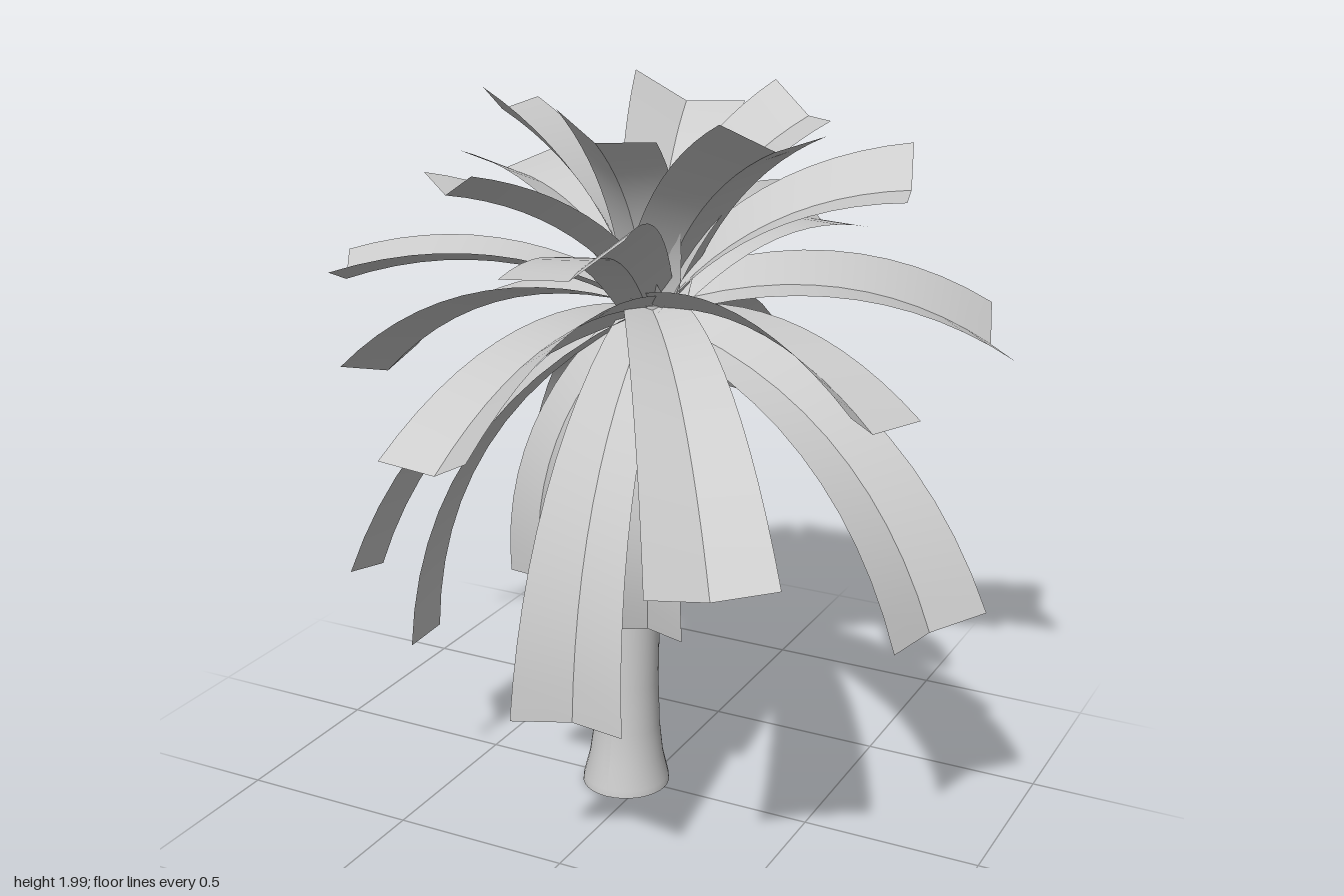
import * as THREE from 'three';

const grey = new THREE.MeshStandardMaterial({ color: 0xcccccc, side: THREE.DoubleSide });
grey.name = 'pale grey';

// Each frond: tip x, y, z of the midrib, then roll about the midrib.
const youngFronds = [
  [0.46, 1.91, 0.22, -0.2], [-0.12, 1.88, -0.49, 0.28], [0, 1.9, 0.27, -0.2],
  [-0.45, 1.9, -0.04, 0.25], [-0.33, 1.77, 0.44, 0.15], [0.32, 1.9, -0.32, 0.22],
];
const spreadingFronds = [
  [0.745, 1.24, -0.667, 0.33], [-0.09, 1.22, 0.9, 0.27], [0.56, 0.98, 0.77, 0.02],
  [0.2, 1.69, 0.766, 0.35], [-0.93, 1.07, -0.146, 0.05], [-0.71, 1.49, 0.345, 0.05],
  [0.77, 1.28, 0.32, -0.33], [0.656, 1.757, -0.2, 0.3], [0.19, 1.52, -0.75, 0.3],
  [-0.44, 1.37, -0.76, 0], [-0.6, 1.68, -0.3, 0.1],
];
const droopingFronds = [
  [0.86, 0.69, 0.09, 0.45], [0.1, 0.49, 0.6, 0], [-0.09, 0.91, -0.9, -0.13],
  [-0.545, 0.47, 0.21, 0], [-0.49, 0.62, -0.49, 0], [0.42, 0.58, -0.64, -0.15],
  [-0.54, 0.76, 0.48, 0.4],
];
const hangingFronds = [
  [-0.235, 0.66, 0.17, -0.4], [-0.235, 0.52, -0.09, 0.55], [0.11, 0.59, 0.2, 0.25],
];

const UP = new THREE.Vector3(0, 1, 0);

// An arched strip folded into a shallow gutter along its midrib.
function frondGeometry([x, y, z, roll], { rootY, arch, rootHalf, tipHalf }) {
  const tip = new THREE.Vector3(x, y, z);
  const out = new THREE.Vector3(x, 0, z).setLength(0.035);
  const root = new THREE.Vector3(0.01, rootY, -0.01).add(out);
  const chord = tip.clone().sub(root);
  const side = UP.clone().cross(chord).normalize();
  const lift = chord.clone().cross(side).normalize();
  const control = root.clone().lerp(tip, 0.5).addScaledVector(lift, 2 * arch * chord.length());
  const rib = new THREE.QuadraticBezierCurve3(root, control, tip);

  const steps = 12, pos = [], index = [];
  for (let i = 0; i <= steps; i++) {
    const t = i / steps;
    const p = rib.getPoint(t);
    const tangent = rib.getTangent(t);
    const across = side.clone().applyAxisAngle(tangent, roll);
    const normal = tangent.clone().cross(across);
    const half = rootHalf + (tipHalf - rootHalf) * t ** 0.8;
    const edge = (s) => p.clone().addScaledVector(across, s * half).addScaledVector(normal, half * 0.33);
    // the midrib is doubled so the fold stays sharp
    for (const v of [edge(1), p, p, edge(-1)]) pos.push(v.x, v.y, v.z);
    if (i < steps) {
      for (const c of [0, 2]) {
        const a = i * 4 + c;
        index.push(a, a + 4, a + 1, a + 1, a + 4, a + 5);
      }
    }
  }
  const g = new THREE.BufferGeometry();
  g.setAttribute('position', new THREE.Float32BufferAttribute(pos, 3));
  g.setIndex(index);
  g.computeVertexNormals();
  return g;
}

function fronds(name, list, shape) {
  const group = new THREE.Group();
  group.name = name;
  list.forEach((f, i) => {
    const mesh = new THREE.Mesh(frondGeometry(f, shape), grey);
    mesh.name = `${name}${i + 1}`;
    group.add(mesh);
  });
  return group;
}

// Flared trunk, leaning slightly from its foot to the crown.
function trunk() {
  const top = 1.43;
  const profile = [
    [0.124, 0], [0.122, 0.02], [0.105, 0.09], [0.094, 0.18], [0.086, 0.32],
    [0.081, 0.55], [0.074, 0.85], [0.064, 1.15], [0.042, top],
  ].map(([r, y]) => new THREE.Vector2(r, y));
  const g = new THREE.LatheGeometry(profile, 32);
  const p = g.attributes.position;
  const leanX = (y) => -0.06 + 0.07 * (y / top) ** 1.6;
  const leanZ = (y) => -0.01 * (y / top);
  for (let i = 0; i < p.count; i++) {
    const y = p.getY(i);
    p.setXYZ(i, p.getX(i) + leanX(y), y, p.getZ(i) + leanZ(y));
  }
  g.computeVertexNormals();
  const group = new THREE.Group();
  group.name = 'trunk';
  const stem = new THREE.Mesh(g, grey);
  stem.name = 'stem';
  group.add(stem);
  // end caps
  for (const [name, r, y, turn] of [['trunkTop', 0.042, top, -1], ['trunkFoot', 0.124, 0, 1]]) {
    const cap = new THREE.Mesh(new THREE.CircleGeometry(r, 32), grey);
    cap.rotation.x = turn * Math.PI / 2;
    cap.position.set(leanX(y), y, leanZ(y));
    cap.name = name;
    group.add(cap);
  }
  return group;
}

export function createModel() {
  const model = new THREE.Group();
  model.name = 'palmTree';
  model.add(
    trunk(),
    fronds('youngFrond', youngFronds, { rootY: 1.44, arch: 0.1, rootHalf: 0.09, tipHalf: 0.158 }),
    fronds('spreadingFrond', spreadingFronds, { rootY: 1.42, arch: 0.11, rootHalf: 0.075, tipHalf: 0.158 }),
    fronds('droopingFrond', droopingFronds, { rootY: 1.39, arch: 0.14, rootHalf: 0.068, tipHalf: 0.15 }),
    fronds('hangingFrond', hangingFronds, { rootY: 1.38, arch: 0.12, rootHalf: 0.06, tipHalf: 0.105 }),
  );
  return model;
}
